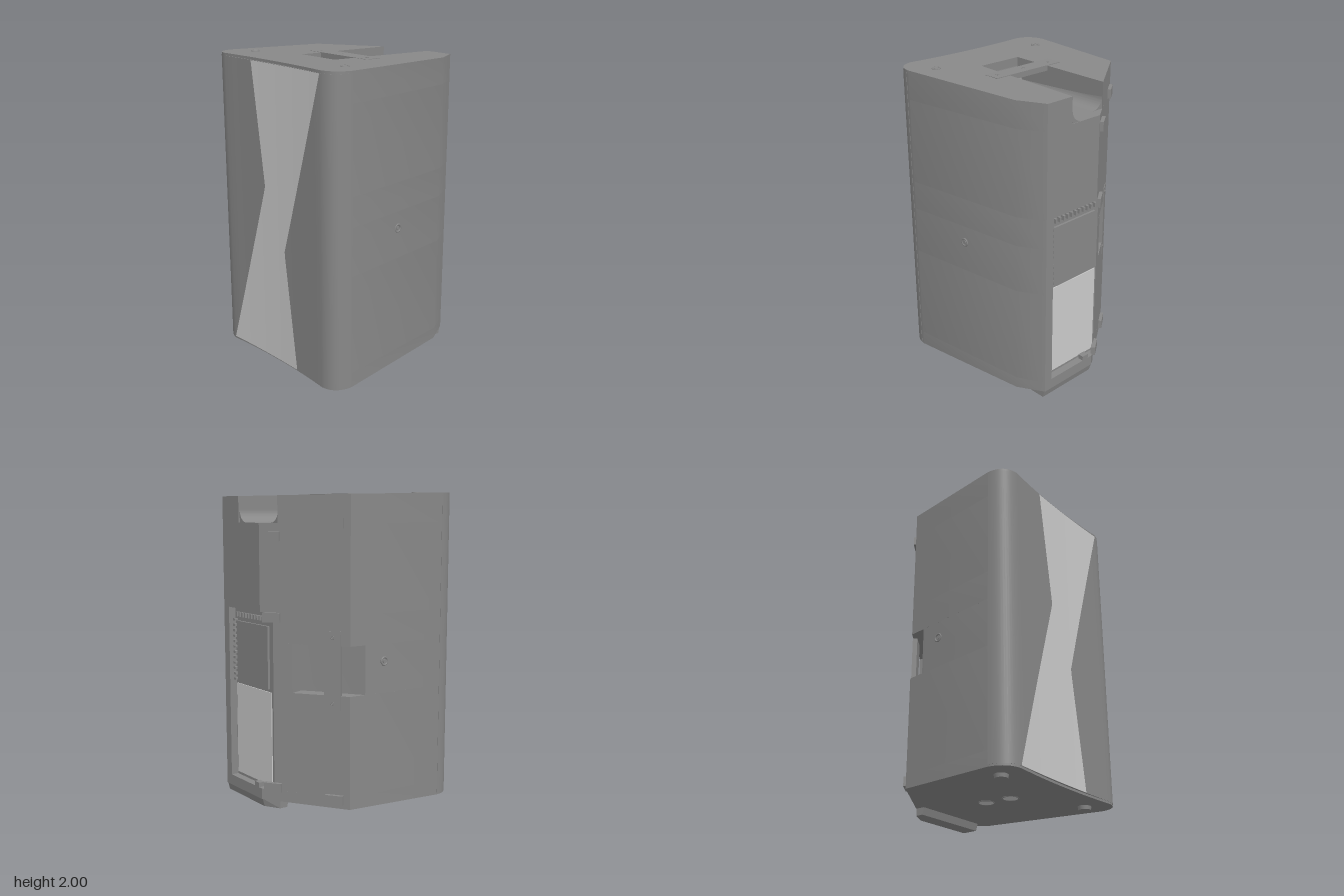
import * as THREE from 'three';
import { toCreasedNormals } from 'three/addons/utils/BufferGeometryUtils.js';

const dark = new THREE.MeshStandardMaterial({ color: 0x888888 });
const light = new THREE.MeshStandardMaterial({ color: 0xcccccc });

const topY = z => 2 - 0.025 * (0.58 - z) / 1.16;
const bottomY = z => 0.02 + 0.03 * (0.58 - z) / 1.16;

function add(parent, name, geometry, material = dark, x = 0, y = 0, z = 0) {
  const mesh = new THREE.Mesh(geometry, material);
  mesh.name = name;
  mesh.position.set(x, y, z);
  parent.add(mesh);
  return mesh;
}

const box = (parent, name, w, h, d, x, y, z, material = dark) =>
  add(parent, name, new THREE.BoxGeometry(w, h, d), material, x, y, z);

// Plan shapes are drawn in (x, -z) and raised along y
function raise(shape, y0, y1) {
  const geo = new THREE.ExtrudeGeometry(shape, { depth: y1 - y0, bevelEnabled: false, curveSegments: 12 });
  geo.rotateX(-Math.PI / 2).translate(0, y0, 0);
  return geo;
}

// Rounded front corners and slightly hollow front, from right to left
function frontEdge(shape, out, hollow) {
  shape.quadraticCurveTo(0.575 + out, -0.565 - out, 0.46, -0.575 - out);
  shape.quadraticCurveTo(0, -hollow, -0.46, -0.575 - out);
  shape.quadraticCurveTo(-0.575 - out, -0.565 - out, -0.585 - out, -0.44);
}

// Cabinet plan with optional cut-outs
function plan({ recess, pocket, groove }) {
  const s = new THREE.Shape();
  s.moveTo(0.585, -0.44);
  frontEdge(s, 0, 0.531);
  const pts = pocket
    ? [[-0.53, -0.13], [-0.24, -0.32], [-0.18, -0.37], [-0.213, -0.458]]
    : [[-0.52, -0.24]];
  if (recess) pts.push([-0.11, -0.53], [0.34, -0.53], [0.34, -0.58]);
  else if (groove) pts.push([-0.14, -0.509], [-0.13, 0.22], [0.18, 0.22], [0.2, -0.58]);
  else pts.push([-0.04, -0.58]);
  pts.push([0.4, -0.58], [0.49, -0.41]);
  pts.forEach(([x, z]) => s.lineTo(x, -z));
  s.closePath();
  return s;
}

// Concave corner piece, extruded along z
function fillet(r, length) {
  const s = new THREE.Shape();
  s.moveTo(0, 0);
  s.lineTo(r, 0);
  s.absarc(r, r, r, -Math.PI / 2, -Math.PI, true);
  s.closePath();
  const geo = new THREE.ExtrudeGeometry(s, { depth: length, bevelEnabled: false, curveSegments: 10 });
  return toCreasedNormals(geo, 0.6);
}

// Ring with a centre bolt, facing +y
function insert(parent, name, x, y, z, r = 0.03) {
  const g = new THREE.Group();
  g.name = name;
  g.position.set(x, y, z);
  const ring = add(g, name + 'Ring', new THREE.TorusGeometry(r * 0.8, r * 0.2, 6, 20));
  ring.rotation.x = Math.PI / 2;
  add(g, name + 'Bolt', new THREE.CylinderGeometry(r * 0.4, r * 0.4, 0.008, 12));
  parent.add(g);
  return g;
}

export function createModel() {
  const model = new THREE.Group();
  model.name = 'loudspeaker';

  // Cabinet in layers, top and bottom sloping toward the back
  const cabinet = new THREE.Group();
  cabinet.name = 'cabinet';
  model.add(cabinet);
  const layers = [
    [0.02, 0.12, {}],
    [0.12, 0.76, { recess: true }],
    [0.76, 1.07, { recess: true, pocket: true }],
    [1.07, 1.26, { recess: true }],
    [1.26, 1.81, {}],
    [1.81, 2, { groove: true }],
  ];
  for (const [y0, y1, cuts] of layers) {
    const geo = raise(plan(cuts), y0, y1);
    const p = geo.attributes.position;
    for (let i = 0; i < p.count; i++) {
      if (p.getY(i) > 1.999) p.setY(i, topY(p.getZ(i)));
      if (p.getY(i) < 0.021) p.setY(i, bottomY(p.getZ(i)));
    }
    add(cabinet, 'cabinetLayer', toCreasedNormals(geo, 0.6));
  }

  // Front grille
  const g = new THREE.Shape();
  g.moveTo(0.5855, -0.46);
  g.lineTo(0.5855, -0.44);
  frontEdge(g, 0.0015, 0.55);
  g.closePath();
  add(model, 'grille', toCreasedNormals(raise(g, 0.035, 1.983), 0.6));

  // Light stripe following the hollow of the grille
  const stripe = new THREE.PlaneGeometry(1, 1, 16, 50);
  const sp = stripe.attributes.position;
  const lerp = THREE.MathUtils.mapLinear;
  for (let i = 0; i < sp.count; i++) {
    const y = lerp(sp.getY(i), -0.5, 0.5, 0.036, 1.982);
    const left = y > 1.2 ? lerp(y, 1.2, 1.982, -0.09, -0.2) : lerp(y, 0.036, 1.2, -0.46, -0.09);
    const right = y > 0.81 ? lerp(y, 0.81, 1.982, 0.095, 0.46) : lerp(y, 0.036, 0.81, 0.205, 0.095);
    const x = lerp(sp.getX(i), -0.5, 0.5, left, right);
    sp.setXYZ(i, x, y, 0.5655 + 0.0135 * (x / 0.46) ** 2);
  }
  stripe.computeVertexNormals();
  add(model, 'frontStripe', stripe, light);

  // Top handle: rounded groove floor and flat bar with screws
  add(model, 'grooveFillet', fillet(0.08, 0.72), dark, -0.14, 1.81, -0.505);
  add(model, 'grooveFillet', fillet(0.08, 0.79), dark, 0.193, 1.81, -0.575).scale.x = -1;
  add(model, 'grooveRamp', fillet(0.15, 0.315).rotateY(Math.PI / 2), dark, -0.135, 1.81, 0.222);
  box(model, 'topHandleBar', 0.54, 0.035, 0.11, 0.025, 1.973, 0.005);
  for (const x of [-0.19, 0.025, 0.24]) insert(model, 'handleScrew', x, 1.991, 0.005, 0.012);

  // Threaded inserts on the top and the sides
  for (const s of [-1, 1]) {
    insert(model, 'topInsert', s * 0.43, topY(0.36), 0.36);
    insert(model, 'sideInsert', s > 0 ? 0.537 : -0.544, 0.96, 0.01).rotation.z = -s * Math.PI / 2;
  }

  // Slanted back face: local x runs outward along it, local z points away
  const slant = new THREE.Group();
  slant.name = 'slantedFace';
  slant.position.set(-0.04, 0, -0.58);
  slant.rotation.y = Math.atan2(-0.34, -0.48);
  model.add(slant);
  box(slant, 'sideHandleBar', 0.107, 0.49, 0.03, 0.475, 0.915, -0.011);
  for (const y of [0.71, 1.12]) insert(slant, 'handleScrew', 0.475, y, 0.004, 0.012).rotation.x = Math.PI / 2;
  for (const [x, y] of [[0.08, 1.73], [0.08, 1.23], [0.08, 0.14], [0.49, 1.81], [0.49, 0.1]])
    box(slant, 'restingPad', 0.115, 0.06, 0.03, x, y, 0.007);

  // Back panel: light plate below, connector plate with a ribbed border above
  box(model, 'amplifierPlate', 0.42, 0.61, 0.012, 0.117, 0.445, -0.53, light);
  box(model, 'connectorPlate', 0.37, 0.4, 0.03, 0.115, 0.97, -0.53);
  for (let i = 0; i < 12; i++) box(model, 'borderRib', 0.025, 0.015, 0.03, 0.322, 0.78 + i * 0.036, -0.54);
  for (let i = 0; i < 11; i++) box(model, 'borderRib', 0.015, 0.03, 0.03, 0.29 - i * 0.035, 1.215, -0.54);
  box(model, 'cableClip', 0.05, 0.06, 0.04, 0.02, 0.12, -0.56);

  // Feet
  for (const s of [-1, 1])
    add(model, 'frontFoot', new THREE.CylinderGeometry(0.045, 0.04, 0.035, 20), dark, s * 0.425, 0.0175, 0.41);
  const foot = new THREE.Shape();
  [[-0.14, 0.44], [0.4, 0.44], [0.4, 0.575], [-0.04, 0.575], [-0.14, 0.505]].forEach(([x, y], i) =>
    i ? foot.lineTo(x, y) : foot.moveTo(x, y));
  const footGeo = raise(foot, 0, 0.052);
  const fp = footGeo.attributes.position;
  for (let i = 0; i < fp.count; i++)
    if (fp.getY(i) < 0.01) fp.setZ(i, -0.51 + (fp.getZ(i) + 0.51) * 0.8);
  footGeo.computeVertexNormals();
  add(model, 'backFoot', footGeo);

  // Pole sockets underneath
  for (const z of [0.15, -0.04]) {
    const y = bottomY(z);
    add(model, 'poleSocket', new THREE.CylinderGeometry(0.048, 0.048, 0.006, 24), light, 0, y, z);
    add(model, 'poleSocketRim', new THREE.TorusGeometry(0.05, 0.005, 6, 24), dark, 0, y, z).rotation.x = Math.PI / 2;
  }
  return model;
}
